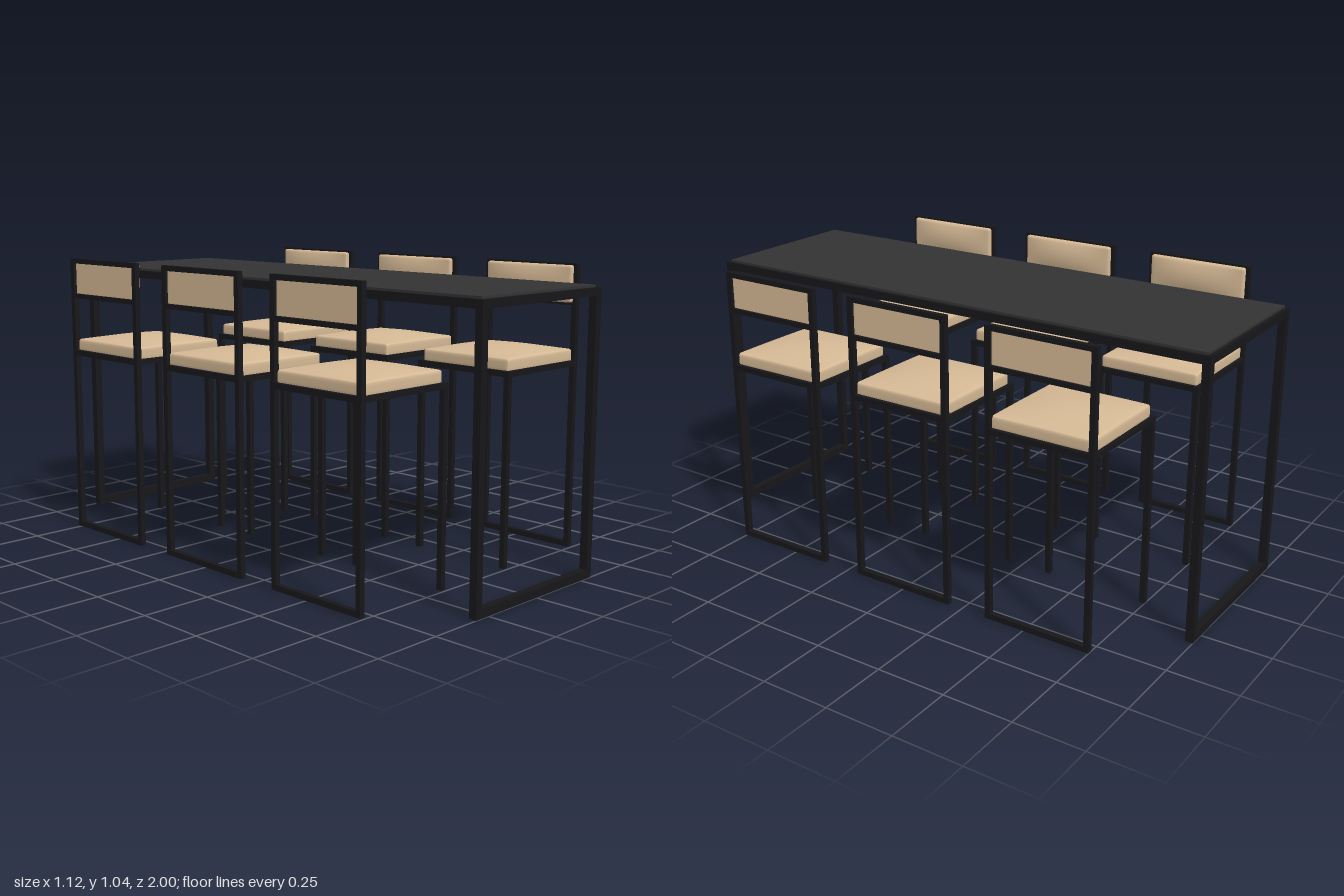
import * as THREE from 'three';
import { mergeVertices } from 'three/addons/utils/BufferGeometryUtils.js';

const metal = new THREE.MeshStandardMaterial({ color: 0x17171a });
const topMat = new THREE.MeshStandardMaterial({ color: 0x333333 });
const fabric = new THREE.MeshStandardMaterial({ color: 0xd5b995 });

// Box given by its minimum and maximum corners
function bar(parent, name, [x0, y0, z0], [x1, y1, z1], material = metal) {
  const mesh = new THREE.Mesh(new THREE.BoxGeometry(x1 - x0, y1 - y0, z1 - z0), material);
  mesh.position.set((x0 + x1) / 2, (y0 + y1) / 2, (z0 + z1) / 2);
  mesh.name = name;
  parent.add(mesh);
  return mesh;
}

// Soft pad: box with rounded edges whose +y face bulges by `rise`
function cushion(name, w, h, d, r, rise) {
  let geo = new THREE.BoxGeometry(2, 2, 2, 24, 8, 24);
  geo.deleteAttribute('uv');
  geo.deleteAttribute('normal');
  geo = mergeVertices(geo);
  const half = new THREE.Vector3(w / 2, h / 2, d / 2);
  const inner = half.clone().subScalar(r);
  const outer = inner.clone().negate();
  const pos = geo.attributes.position;
  const p = new THREE.Vector3();
  const core = new THREE.Vector3();
  const ease = (t) => Math.sin((t * Math.PI) / 2); // crowd vertices towards the edges
  for (let i = 0; i < pos.count; i++) {
    p.fromBufferAttribute(pos, i);
    p.set(ease(p.x), ease(p.y), ease(p.z)).multiply(half);
    core.copy(p).clamp(outer, inner);
    p.sub(core).setLength(r).add(core);
    const u = p.x / half.x, v = p.z / half.z;
    if (p.y > 0) p.y += (p.y / half.y) * rise * (1 - u * u) * (1 - v * v);
    pos.setXYZ(i, p.x, p.y, p.z);
  }
  geo.computeVertexNormals();
  const mesh = new THREE.Mesh(geo, fabric);
  mesh.name = name;
  return mesh;
}

function createTable() {
  const table = new THREE.Group();
  table.name = 'table';
  const X = 0.31, Z = 1, T = 0.028, H = 0.982;
  for (const s of [-1, 1]) {
    const zc = s * (Z - T / 2), xc = s * (X - T / 2), t = T / 2;
    // End frames: two legs, a floor bar and an upper bar
    for (const k of [-1, 1]) {
      const lx = k * (X - t);
      bar(table, 'tableLeg', [lx - t, 0, zc - t], [lx + t, H, zc + t]);
    }
    bar(table, 'tableFootBar', [-X + T, 0, zc - t], [X - T, 0.03, zc + t]);
    bar(table, 'tableEndRail', [-X + T, 0.954, zc - t], [X - T, H, zc + t]);
    // Long side rails
    bar(table, 'tableSideRail', [xc - t, 0.954, -Z + T], [xc + t, H, Z - T]);
  }
  bar(table, 'tableTop', [-0.298, 0.968, -0.986], [0.298, 0.99, 0.986], topMat);
  return table;
}

// Chair on the +x side, facing -x, centred on z = 0
function createChair() {
  const chair = new THREE.Group();
  chair.name = 'chair';
  const back = 0.56, front = 0.157, W = 0.2, T = 0.02, floor = 0.005;
  const seatLow = 0.672, seatTop = 0.692, top = 1.036;
  for (const s of [-1, 1]) {
    const z0 = s > 0 ? W - T : -W, z1 = z0 + T;
    bar(chair, 'backPost', [back - T, floor, z0], [back, top, z1]);
    bar(chair, 'frontLeg', [front, floor, z0], [front + T, seatLow, z1]);
    bar(chair, 'seatSideRail', [front, seatLow, z0], [back - T, seatTop, z1]);
  }
  const cross = (name, x, y0, y1) => bar(chair, name, [x, y0, -W + T], [x + T, y1, W - T]);
  cross('seatFrontRail', front, seatLow, seatTop);
  cross('seatBackRail', back - T, seatLow, seatTop);
  cross('footBar', back - T, floor, floor + T);
  cross('backTopRail', back - T, top - 0.018, top);
  cross('backLowerRail', back - T, 0.888, 0.905);

  // Seat pad resting in the frame
  const seat = cushion('seatCushion', 0.375, 0.048, 0.376, 0.01, 0.02);
  seat.position.set(0.358, 0.709, 0);
  chair.add(seat);

  // Back pad, bulging towards the sitter
  const pad = cushion('backCushion', 0.132, 0.024, 0.372, 0.008, 0.016);
  pad.rotation.z = Math.PI / 2;
  pad.position.set(0.537, 0.963, 0);
  chair.add(pad);
  return chair;
}

export function createModel() {
  const model = new THREE.Group();
  model.name = 'diningSet';
  model.add(createTable());

  // Three chairs along each long side
  const chair = createChair();
  for (const side of [1, -1]) {
    for (const z of [-0.553, -0.002, 0.549]) {
      const c = chair.clone();
      c.name = side > 0 ? 'leftChair' : 'rightChair';
      c.position.z = z;
      if (side < 0) c.rotation.y = Math.PI;
      model.add(c);
    }
  }
  return model;
}
